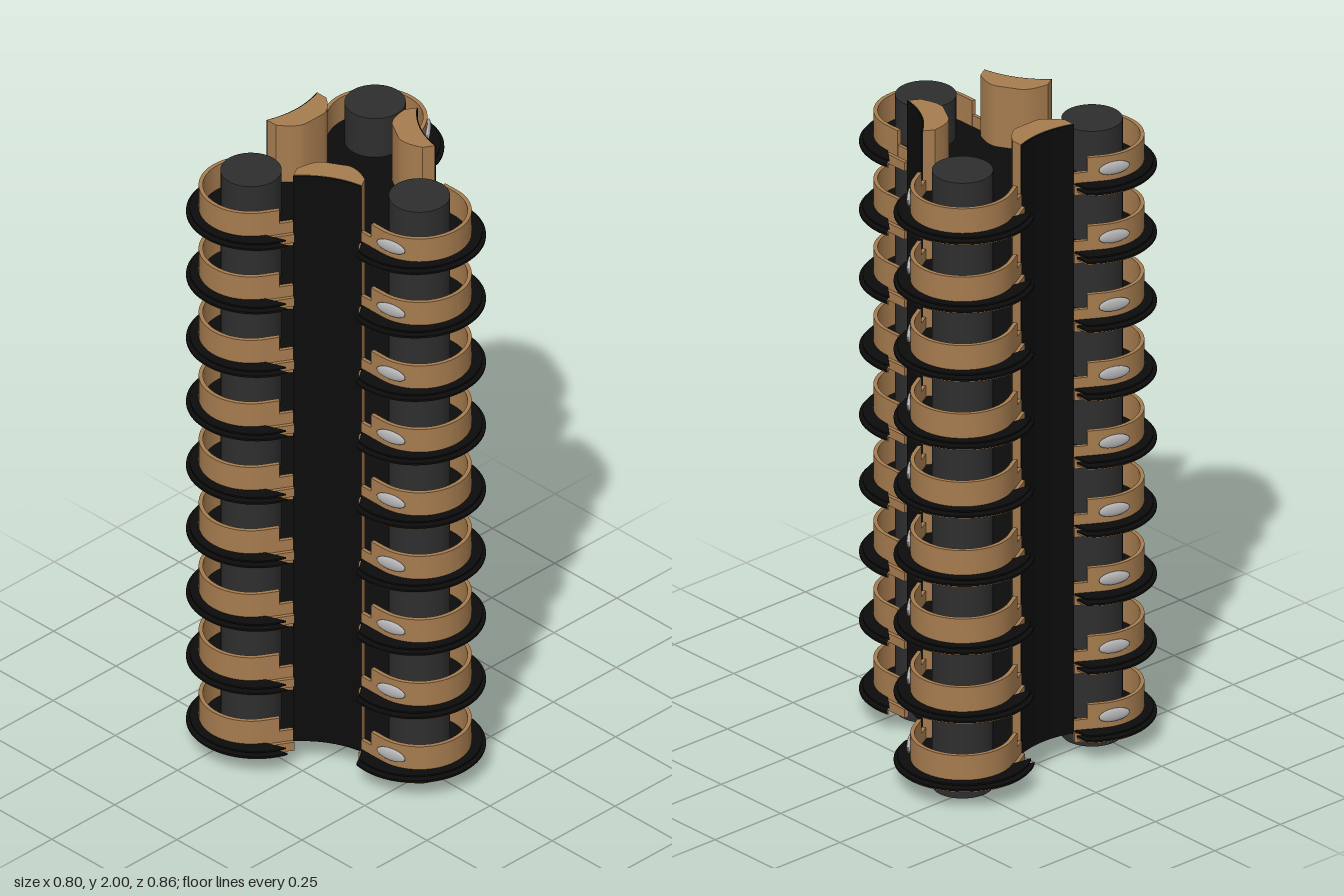
import * as THREE from 'three';
import { toCreasedNormals } from 'three/addons/utils/BufferGeometryUtils.js';

const mat = (color) => new THREE.MeshStandardMaterial({ color });
const bronze = mat(0xa67c4f), black = mat(0x0c0c0c), charcoal = mat(0x2e2e2e), silver = mat(0xb4b4b4);

const FLOORS = 9, PITCH = 0.2156;
const LOBE = 0.285;   // distance of each column from the core axis
const NECK = 0.2;     // where a lobe meets the core

// Horizontal slab: shape y becomes z, spanning bottom..top in height
function slab(shape, bottom, top) {
  const g = new THREE.ExtrudeGeometry(shape, { depth: top - bottom, bevelEnabled: false, curveSegments: 28 });
  g.rotateX(Math.PI / 2).translate(0, top, 0);
  return toCreasedNormals(g, 0.5);
}

function add(parent, name, geometry, material) {
  const mesh = new THREE.Mesh(geometry, material);
  mesh.name = name;
  parent.add(mesh);
  return mesh;
}

// Open U-shaped band round a lobe; start is the x where its straight ends stop
function horseshoe(cx, rOut, rIn, angle = Math.PI / 2, start = NECK) {
  const s = new THREE.Shape();
  s.moveTo(start, -rIn);
  if (angle === Math.PI / 2) s.lineTo(start, -rOut);
  s.absarc(cx, 0, rOut, -angle, angle, false);
  if (angle === Math.PI / 2) s.lineTo(start, rOut);
  s.lineTo(start, rIn);
  s.absarc(LOBE, 0, rIn, Math.PI / 2, -Math.PI / 2, true);
  s.closePath();
  return s;
}

// Floor plate of one lobe, with its third of the core
function deckShape() {
  const s = new THREE.Shape();
  s.moveTo(0, 0);
  s.lineTo(0.0685, -0.1186);
  s.lineTo(0.18, -0.12);
  s.lineTo(NECK, -0.142);
  s.absarc(LOBE, 0, 0.142, -Math.PI / 2, Math.PI / 2, false);
  s.lineTo(NECK, 0.142);
  s.lineTo(0.18, 0.12);
  s.lineTo(0.0685, 0.1186);
  s.closePath();
  return s;
}

// Concave wall between two lobes
function panelShape() {
  const s = new THREE.Shape();
  s.moveTo(0.19, -0.1);
  s.lineTo(0.225, -0.1);
  s.quadraticCurveTo(0.189, 0, 0.225, 0.1);
  s.lineTo(0.19, 0.1);
  s.quadraticCurveTo(0.14, 0.065, 0.137, 0.035);
  s.lineTo(0.137, -0.035);
  s.quadraticCurveTo(0.14, -0.065, 0.19, -0.1);
  return s;
}

// Thin dark cladding on the outer side of the wall
function claddingShape() {
  const s = new THREE.Shape();
  s.moveTo(0.224, -0.1);
  s.lineTo(0.229, -0.1);
  s.quadraticCurveTo(0.193, 0, 0.229, 0.1);
  s.lineTo(0.224, 0.1);
  s.quadraticCurveTo(0.188, 0, 0.224, -0.1);
  return s;
}

export function createModel() {
  const model = new THREE.Group();
  model.name = 'tripleTower';

  const brimAngle = THREE.MathUtils.degToRad(101);
  const geo = {
    deck: slab(deckShape(), 0.074, 0.084),
    wall: slab(horseshoe(LOBE, 0.148, 0.136, Math.PI / 2, 0.24), 0.084, 0.165),
    lowWall: slab(horseshoe(LOBE, 0.1475, 0.1365), 0.08, 0.12),
    upperBrim: slab(horseshoe(0.268, 0.19, 0.145, brimAngle), 0.083, 0.088),
    lip: slab(horseshoe(LOBE, 0.158, 0.142), 0.055, 0.083),
    lowerBrim: slab(horseshoe(0.268, 0.2, 0.145, brimAngle), 0.07, 0.076),
    brimEdge: slab(horseshoe(0.268, 0.195, 0.145, brimAngle), 0.065, 0.07),
    column: new THREE.CylinderGeometry(0.087, 0.087, 1.94, 40).translate(LOBE, 0.97, 0),
    window: new THREE.SphereGeometry(1, 24, 12).scale(0.048, 0.02, 0.008),
    panel: slab(panelShape(), 0.08, 2),
    cladding: slab(claddingShape(), 0.08, 1.999),
  };

  for (let i = 0; i < 3; i++) {
    const lobe = new THREE.Group();
    lobe.name = 'lobe' + (i + 1);
    lobe.rotation.y = (i * Math.PI * 2) / 3;
    lobe.position.x = -0.068;
    model.add(lobe);
    add(lobe, 'column', geo.column, charcoal);

    // Stacked balconies
    for (let k = 0; k < FLOORS; k++) {
      const floor = new THREE.Group();
      floor.name = 'floor' + (k + 1);
      floor.position.y = k * PITCH;
      lobe.add(floor);
      add(floor, 'deck', geo.deck, black);
      add(floor, 'balconyWall', geo.wall, bronze);
      add(floor, 'balconyWallEnds', geo.lowWall, bronze);
      add(floor, 'upperBrim', geo.upperBrim, black);
      add(floor, 'lip', geo.lip, bronze);
      add(floor, 'lowerBrim', geo.lowerBrim, black);
      add(floor, 'brimEdge', geo.brimEdge, bronze);
      const pane = add(floor, 'ovalWindow', geo.window, silver);
      pane.position.set(0.318, 0.125, 0.146);
      pane.rotation.y = 0.22;
    }

    // Core wall beside this lobe
    const wall = new THREE.Group();
    wall.name = 'coreWall';
    wall.rotation.y = Math.PI / 3;
    lobe.add(wall);
    add(wall, 'panel', geo.panel, bronze);
    add(wall, 'cladding', geo.cladding, black);
  }
  return model;
}
